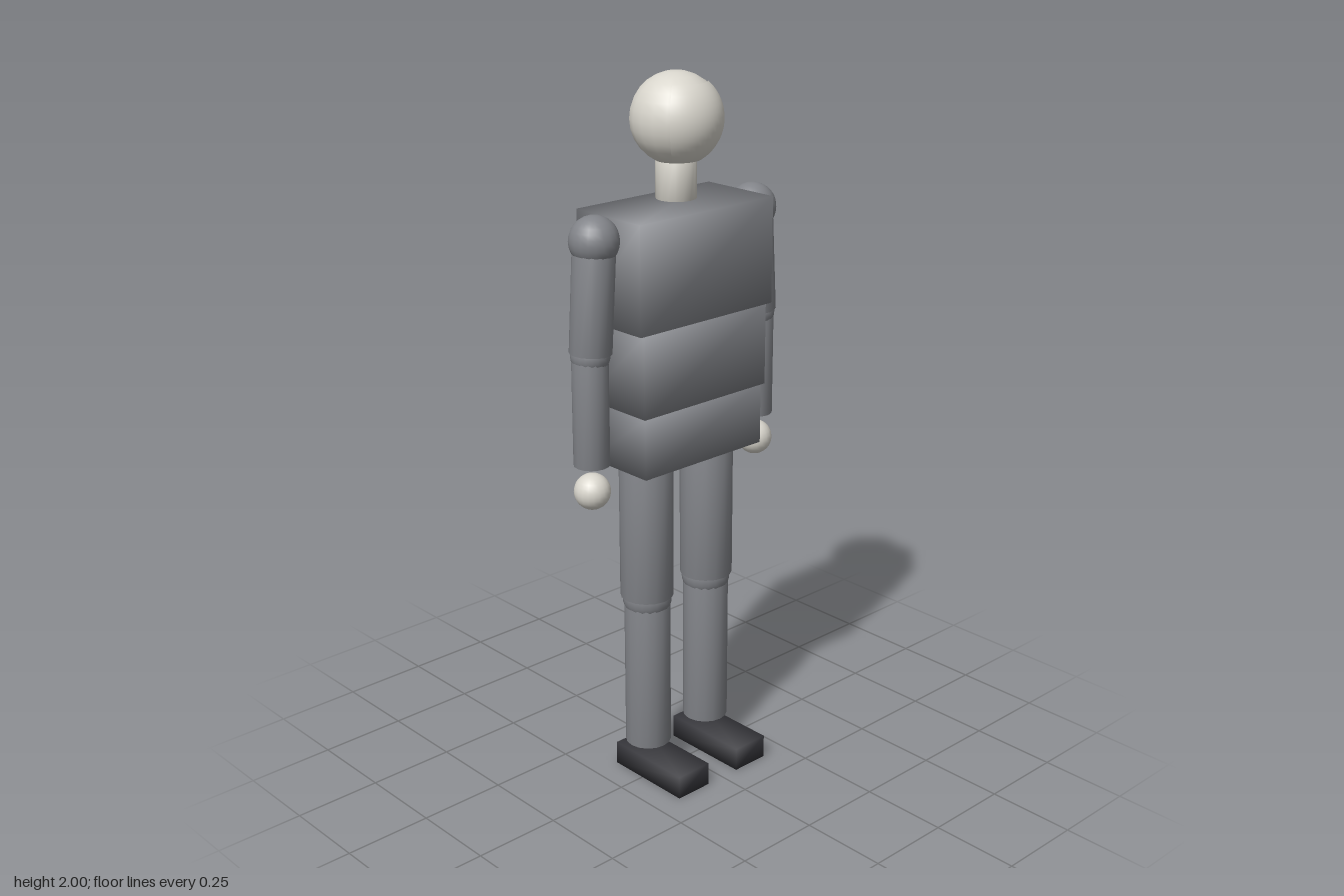
import * as THREE from 'three';
import { mergeVertices } from 'three/addons/utils/BufferGeometryUtils.js';

const Z = -0.035; // depth of the body axis

// Weld corners so shading runs smoothly over every edge
function weld(geometry) {
  geometry.deleteAttribute('uv');
  geometry.deleteAttribute('normal');
  const welded = mergeVertices(geometry, 1e-5);
  welded.computeVertexNormals();
  return welded;
}

export function createModel() {
  const model = new THREE.Group();
  model.name = 'figure';

  const skin = new THREE.MeshStandardMaterial({ color: 0xd9d6cd, side: THREE.DoubleSide });
  skin.name = 'pale skin';
  const suit = new THREE.MeshStandardMaterial({ color: 0x828489 });
  suit.name = 'grey suit';
  const shoe = new THREE.MeshStandardMaterial({ color: 0x36363b });
  shoe.name = 'dark shoe';

  function add(name, geometry, material, x, y, z = Z) {
    const mesh = new THREE.Mesh(geometry, material);
    mesh.name = name;
    mesh.position.set(x, y, z);
    model.add(mesh);
    return mesh;
  }
  const box = (name, w, y0, y1, d, material, x = 0, z = Z) =>
    add(name, weld(new THREE.BoxGeometry(w, y1 - y0, d)), material, x, (y0 + y1) / 2, z);
  const ball = (name, r, material, x, y) =>
    add(name, new THREE.SphereGeometry(r, 20, 14), material, x, y);
  // Round limb between two points in the body plane
  function limb(name, r, material, x0, y0, x1, y1) {
    const length = Math.hypot(x1 - x0, y1 - y0);
    const mesh = add(name, weld(new THREE.CylinderGeometry(r, r, length, 16)),
      material, (x0 + x1) / 2, (y0 + y1) / 2);
    mesh.rotation.z = Math.atan2(x1 - x0, y0 - y1);
  }

  // Head with a raised face panel, and neck
  ball('head', 0.122, skin, 0, 1.878);
  const half = 0.87;
  add('face', new THREE.SphereGeometry(0.126, 14, 14, Math.PI / 2 - half, 2 * half, 0.71, 1.86),
    skin, 0, 1.878);
  limb('neck', 0.055, skin, 0, 1.79, 0, 1.668);

  // Stacked torso blocks
  box('chest', 0.476, 1.36, 1.655, 0.248, suit);
  box('belly', 0.444, 1.13, 1.36, 0.238, suit);
  box('pelvis', 0.428, 0.957, 1.13, 0.224, suit);

  for (const [side, s] of [['left', 1], ['right', -1]]) {
    // Arm
    ball(side + 'Shoulder', 0.067, suit, s * 0.284, 1.6);
    limb(side + 'UpperArm', 0.057, suit, s * 0.284, 1.6, s * 0.303, 1.305);
    ball(side + 'Elbow', 0.053, suit, s * 0.304, 1.3);
    limb(side + 'Forearm', 0.049, suit, s * 0.306, 1.3, s * 0.306, 0.996);
    ball(side + 'Hand', 0.05, skin, s * 0.306, 0.92);
    // Leg
    limb(side + 'Thigh', 0.075, suit, s * 0.114, 0.957, s * 0.114, 0.556);
    ball(side + 'Knee', 0.07, suit, s * 0.113, 0.55);
    limb(side + 'Shin', 0.065, suit, s * 0.113, 0.55, s * 0.113, 0.094);
    box(side + 'Shoe', 0.113, 0, 0.068, 0.268, shoe, s * 0.1125, 0.023);
  }
  return model;
}
